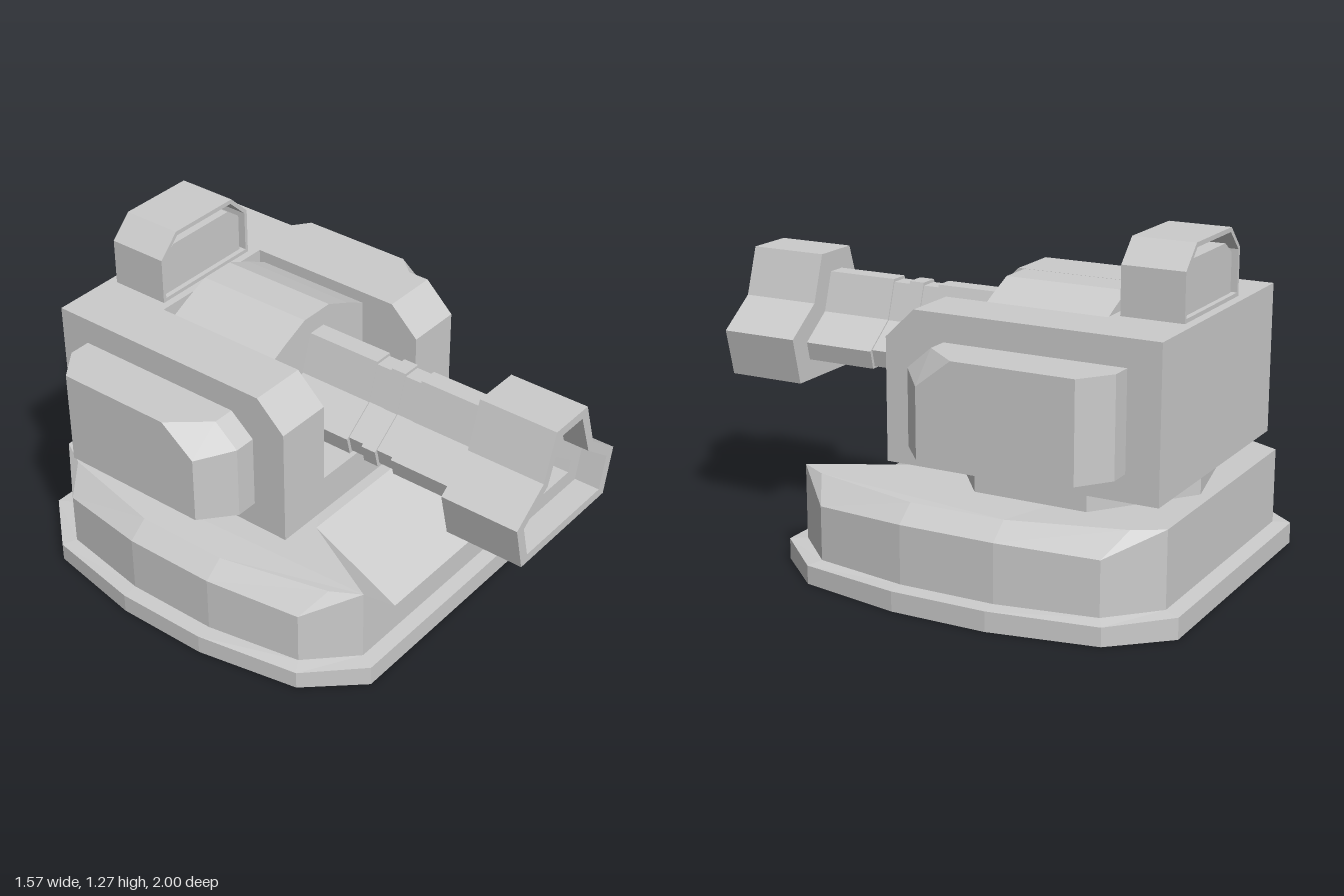
import * as THREE from 'three';
import { ConvexGeometry } from 'three/addons/geometries/ConvexGeometry.js';

const material = new THREE.MeshStandardMaterial({ color: 0xcccccc, flatShading: true });
const shellMaterial = new THREE.MeshStandardMaterial({ color: 0xcccccc, flatShading: true, side: THREE.DoubleSide });

const vec2 = (pts) => pts.map(([x, y]) => new THREE.Vector2(x, y));
// Completes a right-hand half outline with its mirror image
const mirror = (half) => [...half, ...half.map(([x, ...rest]) => [-x, ...rest]).reverse()];

// Outline in x, y extruded from z0 to z1, with an optional hole
function prism(pts, z0, z1, hole) {
  const shape = new THREE.Shape(vec2(pts));
  if (hole) shape.holes.push(new THREE.Path(vec2(hole)));
  return new THREE.ExtrudeGeometry(shape, { depth: z1 - z0, bevelEnabled: false }).translate(0, 0, z0);
}

// Side profile in z, y extruded from x0 to x1
function sideways(pts, x0, x1) {
  return prism(pts, 0, x1 - x0).rotateY(-Math.PI / 2).translate(x1, 0, 0);
}

// Flat-sided surface from polygons, each a loop of [x, y, z] corners
function faces(polygons) {
  const out = [];
  for (const p of polygons)
    for (let i = 1; i < p.length - 1; i++) out.push(...p[0], ...p[i], ...p[i + 1]);
  const g = new THREE.BufferGeometry();
  g.setAttribute('position', new THREE.Float32BufferAttribute(out, 3));
  g.computeVertexNormals();
  return g;
}

// Hollow base: flange, wall, chamfer and a top cut by the front ramp
function baseGeometry() {
  const loops = [
    [[0.53, 0, 0.57], [0.71, 0, 0.37], [0.785, 0, -0.03]],
    [[0.53, 0.08, 0.57], [0.71, 0.07, 0.37], [0.785, 0.075, -0.03]],
    [[0.5, 0.085, 0.51], [0.66, 0.08, 0.34], [0.725, 0.08, -0.03]],
    [[0.5, 0.372, 0.51], [0.66, 0.285, 0.34], [0.725, 0.3, -0.03]],
    [[0.5, 0.372, 0.51], [0.56, 0.37, 0.4], [0.65, 0.36, -0.03]],
  ].map((front) => {
    const back = front.map(([x, y, z]) => [x, y, -0.43 - z]).reverse();
    return mirror([...front, ...back]);
  });
  const polygons = [];
  for (let l = 0; l < 4; l++) {
    const a = loops[l], b = loops[l + 1], n = a.length;
    for (let i = 0; i < n; i++) {
      const j = (i + 1) % n;
      if (i === n - 1 && l >= 2) continue; // front wall is shaped by the ramp
      polygons.push([a[i], a[j], b[j], b[i]]);
    }
  }
  const low = loops[2], top = loops[4], n = top.length;
  const rampTop = [[-0.31, 0.372, 0.145], [0.31, 0.372, 0.145]];
  const rampLow = [[-0.31, 0.19, 0.51], [0.31, 0.19, 0.51]];
  polygons.push([rampLow[0], rampLow[1], rampTop[1], rampTop[0]]);
  polygons.push([top[0], rampTop[1], rampLow[1]], [top[n - 1], rampLow[0], rampTop[0]]);
  polygons.push([low[n - 1], low[0], rampLow[1], rampLow[0]]);
  polygons.push([low[0], top[0], rampLow[1]], [low[n - 1], rampLow[0], top[n - 1]]);
  const deck = [...top, ...rampTop];
  const flat = deck.map(([x, , z]) => new THREE.Vector2(x, -z));
  for (const t of THREE.ShapeUtils.triangulateShape(flat, [])) polygons.push(t.map((k) => deck[k]));
  return faces(polygons);
}

export function createModel() {
  const model = new THREE.Group();
  const add = (name, geometry, mat = material, parent = model) => {
    const mesh = new THREE.Mesh(geometry, mat);
    mesh.name = name;
    parent.add(mesh);
    return mesh;
  };
  const group = (name) => {
    const g = new THREE.Group();
    g.name = name;
    model.add(g);
    return g;
  };

  add('base', baseGeometry(), shellMaterial);

  // Seven-sided turning collar
  add('swivelCollar', new THREE.CylinderGeometry(0.508, 0.508, 0.08, 7, 1, false, 0.22).translate(0, 0.405, -0.4));

  // Turret housing: two cheeks around a slotted core
  const turret = group('turret');
  const cheek = [[0.155, 0.44], [0.155, 0.9], [0.04, 1.01], [-0.905, 1.01], [-0.905, 0.44]];
  add('leftCheek', sideways(cheek, 0.275, 0.5), material, turret);
  add('rightCheek', sideways(cheek, -0.5, -0.275), material, turret);
  const core = [[0.155, 0.44], [0.155, 0.585], [-0.6, 0.585], [-0.6, 1.01], [-0.905, 1.01], [-0.905, 0.44]];
  add('turretCore', sideways(core, -0.275, 0.275), material, turret);

  // Arched gun mount inside the slot
  add('gunMount', prism(mirror([[0.25, 0.586], [0.274, 0.67], [0.274, 0.965], [0.18, 1.012], [0.07, 1.06]]), -0.575, -0.095));

  // Side pods with chamfered corners
  const inner = [[0.54, 0.015], [0.825, 0.015], [0.907, -0.08], [0.907, -0.78], [0.54, -0.78]];
  const outer = [[0.54, -0.088], [0.8, -0.088], [0.907, -0.225], [0.907, -0.69], [0.54, -0.69]];
  for (const [name, s] of [['leftPod', 1], ['rightPod', -1]]) {
    const pts = [0.49, 0.585].flatMap((x) => inner.map(([y, z]) => new THREE.Vector3(s * x, y, z)));
    pts.push(...outer.map(([y, z]) => new THREE.Vector3(s * 0.705, y, z)));
    add(name, new ConvexGeometry(pts));
  }

  // Barrel in stepped sections
  const barrel = group('barrel');
  const barrelHalf = [[0.195, 0.675], [0.212, 0.745], [0.085, 0.84], [0.037, 0.988]];
  const sections = [[-0.12, 0.21, 1], [0.21, 0.275, 0.94], [0.275, 0.335, 1], [0.335, 0.405, 0.94], [0.405, 0.72, 1]];
  sections.forEach(([z0, z1, s], i) => {
    const half = barrelHalf.map(([x, y]) => [x * s, 0.8 + (y - 0.8) * s]);
    add('barrelSection' + (i + 1), prism(mirror(half), z0, z1), material, barrel);
  });

  // Muzzle with a stepped bore
  const rim = mirror([[0.262, 0.595], [0.305, 0.775], [0.155, 0.885], [0.095, 1.065]]);
  const mouth = mirror([[0.23, 0.63], [0.262, 0.76], [0.128, 0.86], [0.067, 1.03]]);
  const bore = mirror([[0.178, 0.69], [0.192, 0.738], [0.062, 0.83], [0.022, 0.97]]);
  add('muzzleRim', prism(rim, 0.9, 1, mouth), material, barrel);
  add('muzzleBody', prism(rim, 0.69, 0.9, bore), material, barrel);

  // Sight: a thin hood around a smaller block
  const sight = group('sight');
  const hood = mirror([[0.24, 1.005], [0.24, 1.19], [0.155, 1.275]]);
  const opening = mirror([[0.226, 1.025], [0.226, 1.183], [0.149, 1.258]]);
  add('sightHood', prism(hood, -0.87, -0.63, opening), material, sight);
  const block = mirror([[0.213, 1.01], [0.213, 1.172], [0.152, 1.215]]);
  add('sightBlock', prism(block, -0.85, -0.65), material, sight);

  return model;
}
